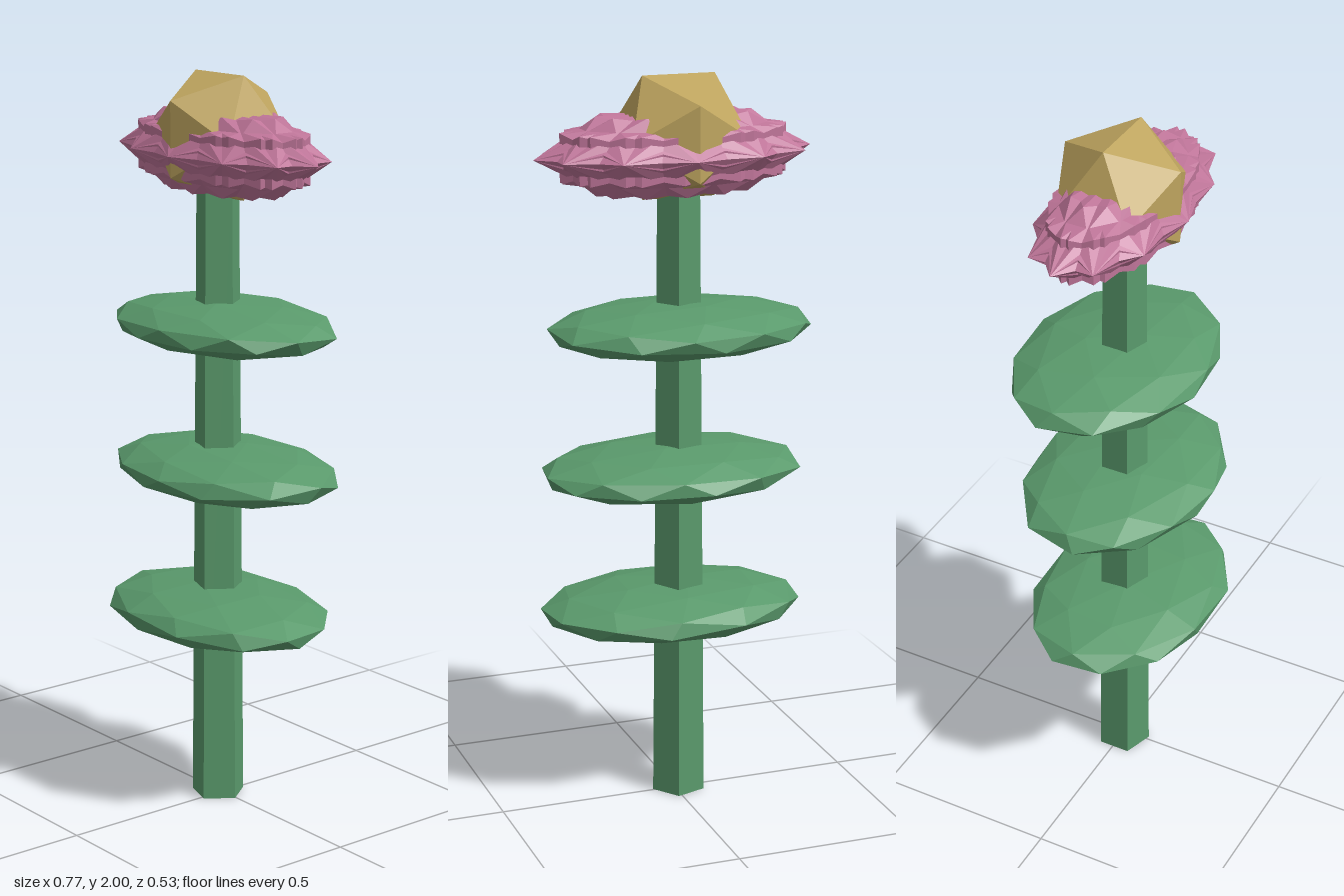
import * as THREE from 'three';

const paint = (color) =>
  new THREE.MeshStandardMaterial({ color, flatShading: true });

function addMesh(parent, name, geometry, material, x = 0, y = 0, z = 0) {
  const mesh = new THREE.Mesh(geometry, material);
  mesh.name = name;
  mesh.position.set(x, y, z);
  parent.add(mesh);
  return mesh;
}

export function createModel() {
  const flower = new THREE.Group();
  flower.name = 'flower';
  const green = paint(0x5a9a6c);
  const pink = paint(0xbf7599);
  const gold = paint(0xbfa55f);

  // Five-sided tapering stem
  const stem = addMesh(flower, 'stem',
    new THREE.CylinderGeometry(0.059, 0.0745, 1.76, 5), green, -0.013, 0.88, 0.004);
  stem.rotation.y = Math.PI / 10;

  // Flattened faceted leaves, each turned differently before being stretched
  const leaves = [
    { x: 0.003, y: 0.542, z: 0.018, turn: 0.35, tilt: 0.15 },
    { x: 0.01, y: 0.938, z: -0.003, turn: 1.1, tilt: -0.2 },
    { x: -0.012, y: 1.33, z: -0.015, turn: 2.0, tilt: 0.25 },
  ];
  for (const { x, y, z, turn, tilt } of leaves) {
    const shape = new THREE.IcosahedronGeometry(1, 1)
      .rotateZ(tilt).rotateY(turn).scale(0.37, 0.07, 0.258);
    addMesh(flower, 'leaf', shape, green, x, y, z);
  }

  // Spiky blossom: a ring of overlapping turned icosahedra, stretched sideways
  const blossom = new THREE.Group();
  blossom.name = 'blossom';
  blossom.position.set(0, 1.796, 0);
  blossom.scale.set(0.385, 0.123, 0.18);
  flower.add(blossom);
  const petalCount = 12;
  for (let i = 0; i < petalCount; i++) {
    const angle = (i / petalCount) * Math.PI * 2;
    const petal = addMesh(blossom, 'petal', new THREE.IcosahedronGeometry(1, 0), pink,
      Math.cos(angle) * 0.06, 0, Math.sin(angle) * 0.06);
    petal.scale.set(0.95, 1, 0.95);
    petal.rotation.y = -angle;
  }

  // Golden centre
  addMesh(flower, 'flowerCentre', new THREE.IcosahedronGeometry(0.191, 0), gold,
    -0.012, 1.8375, 0);

  return flower;
}
